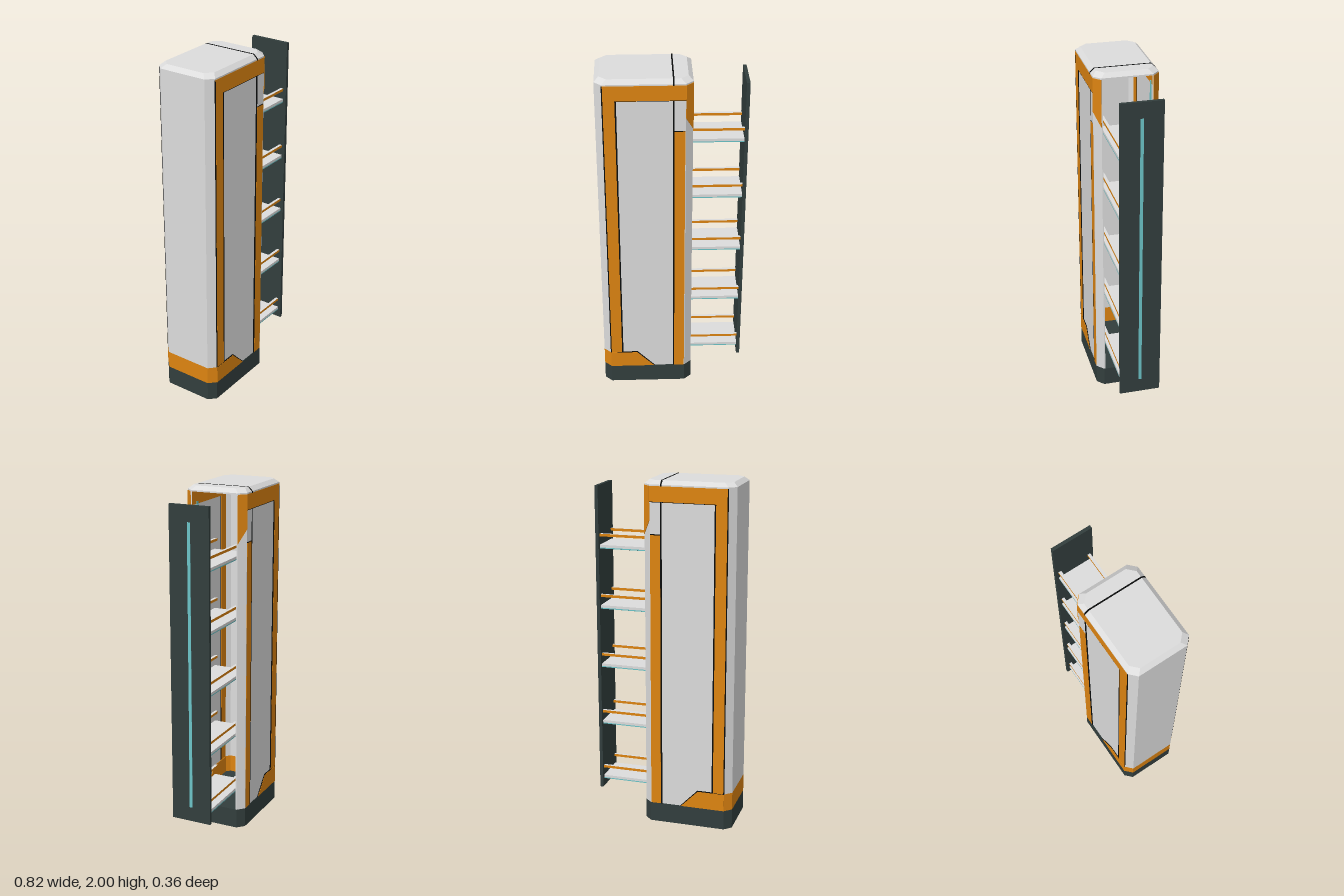
import * as THREE from 'three';

const mat = (name, color) => {
  const m = new THREE.MeshStandardMaterial({ color });
  m.name = name;
  return m;
};

export function createModel() {
  const light = mat('light grey', 0xdcdcdc);
  const orange = mat('orange', 0xdd8411);
  const dark = mat('dark slate', 0x323e3d);
  const teal = mat('teal glow', 0x6cc4c8);
  const black = mat('black seam', 0x0a0c0c);

  const model = new THREE.Group();
  model.name = 'pulloutCabinet';

  const add = (parent, name, geometry, material) => {
    const mesh = new THREE.Mesh(geometry, material);
    mesh.name = name;
    parent.add(mesh);
    return mesh;
  };
  const shapeOf = (pts) => new THREE.Shape(pts.map(([x, y]) => new THREE.Vector2(x, y)));
  // box given by its limits on each axis
  const box = (parent, name, [x0, x1], [y0, y1], [z0, z1], material) => {
    const g = new THREE.BoxGeometry(x1 - x0, y1 - y0, z1 - z0);
    g.translate((x0 + x1) / 2, (y0 + y1) / 2, (z0 + z1) / 2);
    return add(parent, name, g, material);
  };
  // upright prism over an outline in x and z
  const prism = (pts, y0, y1, steps = 1) => {
    const g = new THREE.ExtrudeGeometry(shapeOf(pts.map(([x, z]) => [x, -z])), { depth: y1 - y0, bevelEnabled: false, steps });
    return g.rotateX(-Math.PI / 2).translate(0, y0, 0);
  };
  // plate outlined in x and y, between two depths
  const plate = (pts, z0, z1) =>
    new THREE.ExtrudeGeometry(shapeOf(pts), { depth: z1 - z0, bevelEnabled: false }).translate(0, 0, z0);

  const outline = [
    [-0.37, 0.18], [0.07, 0.18], [0.11, 0.142], [0.11, -0.142],
    [0.07, -0.18], [-0.37, -0.18], [-0.41, -0.142], [-0.41, 0.142],
  ];

  // plinth
  add(model, 'plinth', prism(outline, 0, 0.115), dark);

  // top cap: straight rim, then a chamfer up to the flat top
  const capGeo = prism(outline, 1.97, 2.0, 2);
  const p = capGeo.attributes.position;
  for (let i = 0; i < p.count; i++) {
    const y = p.getY(i);
    if (y > 1.995) {
      p.setX(i, p.getX(i) - Math.sign(p.getX(i) + 0.15) * 0.025);
      p.setZ(i, p.getZ(i) - Math.sign(p.getZ(i)) * 0.024);
    } else if (y > 1.98) p.setY(i, 1.978);
  }
  capGeo.computeVertexNormals();
  add(model, 'topCap', capGeo, light);

  // seam running over the cap
  const seam = plate([[-0.181, 1.968], [0.181, 1.968], [0.181, 1.979], [0.157, 2.001], [-0.157, 2.001], [-0.181, 1.979]], 0.001, 0.009);
  add(model, 'capSeam', seam.rotateY(Math.PI / 2), black);

  // closed end wall, with an orange foot band
  const endWall = [
    [-0.37, 0.18], [-0.41, 0.142], [-0.41, -0.142], [-0.37, -0.18],
    [-0.366, -0.16], [-0.39, -0.135], [-0.39, 0.135], [-0.366, 0.16],
  ];
  add(model, 'endWall', prism(endWall, 0.22, 1.97), light);
  add(model, 'endFootBand', prism(endWall, 0.115, 0.22), orange);

  // the two long sides
  for (const s of [1, -1]) {
    const side = new THREE.Group();
    side.name = s > 0 ? 'frontSide' : 'backSide';
    model.add(side);
    const depth = (a, b) => (s > 0 ? [a, b] : [-b, -a]);
    const put = (name, pts, a, b, m) => add(side, name, plate(pts, ...depth(a, b)), m);

    box(side, 'sidePanel', [-0.298, 0.002], [0.115, 1.885], depth(0.16, 0.177), light);
    put('orangeFrame', [[-0.366, 0.22], [-0.304, 0.22], [-0.304, 1.885], [0.07, 1.885], [0.07, 1.97], [-0.366, 1.97]], 0.158, 0.181, orange);
    put('footWedge', [[-0.37, 0.115], [-0.113, 0.115], [-0.213, 0.217], [-0.37, 0.217]], 0.157, 0.182, orange);
    put('wedgeSeam', [[-0.37, 0.115], [-0.108, 0.115], [-0.211, 0.222], [-0.37, 0.222]], 0.165, 0.1805, black);
    box(side, 'orangeStile', [0.009, 0.067], [0.115, 1.702], depth(0.16, 0.181), orange);
    box(side, 'lightBlock', [0.009, 0.07], [1.708, 1.885], depth(0.16, 0.18), light);

    // dark joints between the panels
    box(side, 'cornerJoint', [-0.372, -0.366], [0.22, 1.97], depth(0.16, 0.1808), black);
    box(side, 'frameJoint', [-0.304, -0.296], [0.22, 1.885], depth(0.159, 0.1805), black);
    box(side, 'stileJoint', [0.001, 0.009], [0.115, 1.885], depth(0.159, 0.1805), black);
    box(side, 'blockJoint', [0.009, 0.07], [1.702, 1.708], depth(0.161, 0.179), black);
    box(side, 'topJoint', [-0.298, 0.07], [1.882, 1.887], depth(0.161, 0.1805), black);
    box(side, 'innerLight', [-0.002, 0.012], [0.14, 1.9], depth(0.153, 0.159), teal);

    // corner post beside the opening, with an orange cover on top
    const post = [[0.067, 0.18], [0.07, 0.18], [0.11, 0.142], [0.11, 0.135], [0.067, 0.16]].map(([x, z]) => [x, z * s]);
    add(side, 'cornerPost', prism(post, 0.115, 1.97), light);
    const w = 0.055;
    const cover = add(side, 'cornerCover', plate([[0, 1.78], [w, 1.7], [w, 1.97], [0, 1.97]], ...depth(-0.003, 0.003)), orange);
    cover.position.set(0.07, 0, 0.18 * s);
    cover.rotation.y = s * Math.atan2(0.038, 0.04);
  }

  // pull-out unit
  const drawer = new THREE.Group();
  drawer.name = 'pullout';
  model.add(drawer);
  box(drawer, 'pulloutFront', [0.39, 0.409], [0.145, 1.95], [-0.118, 0.118], dark);
  box(drawer, 'frontLightStrip', [0.405, 0.411], [0.23, 1.86], [-0.009, 0.009], teal);

  const railMats = [light, light, light, light, orange, orange];
  for (let i = 0; i < 5; i++) {
    const y = 0.2 + i * 0.35;
    const shelf = new THREE.Group();
    shelf.name = 'shelf' + (i + 1);
    drawer.add(shelf);
    box(shelf, 'shelfBoard', [-0.1, 0.39], [y, y + 0.015], [-0.1, 0.1], light);
    box(shelf, 'shelfUnderside', [-0.1, 0.39], [y - 0.007, y], [-0.097, 0.097], dark);
    for (const s of [1, -1]) {
      const z = (a, b) => (s > 0 ? [a, b] : [-b, -a]);
      box(shelf, 'shelfLight', [-0.1, 0.39], [y - 0.006, y], z(0.097, 0.1), teal);
      box(shelf, 'guardRail', [-0.1, 0.39], [y + 0.063, y + 0.078], z(0.083, 0.1), railMats);
    }
  }
  return model;
}
